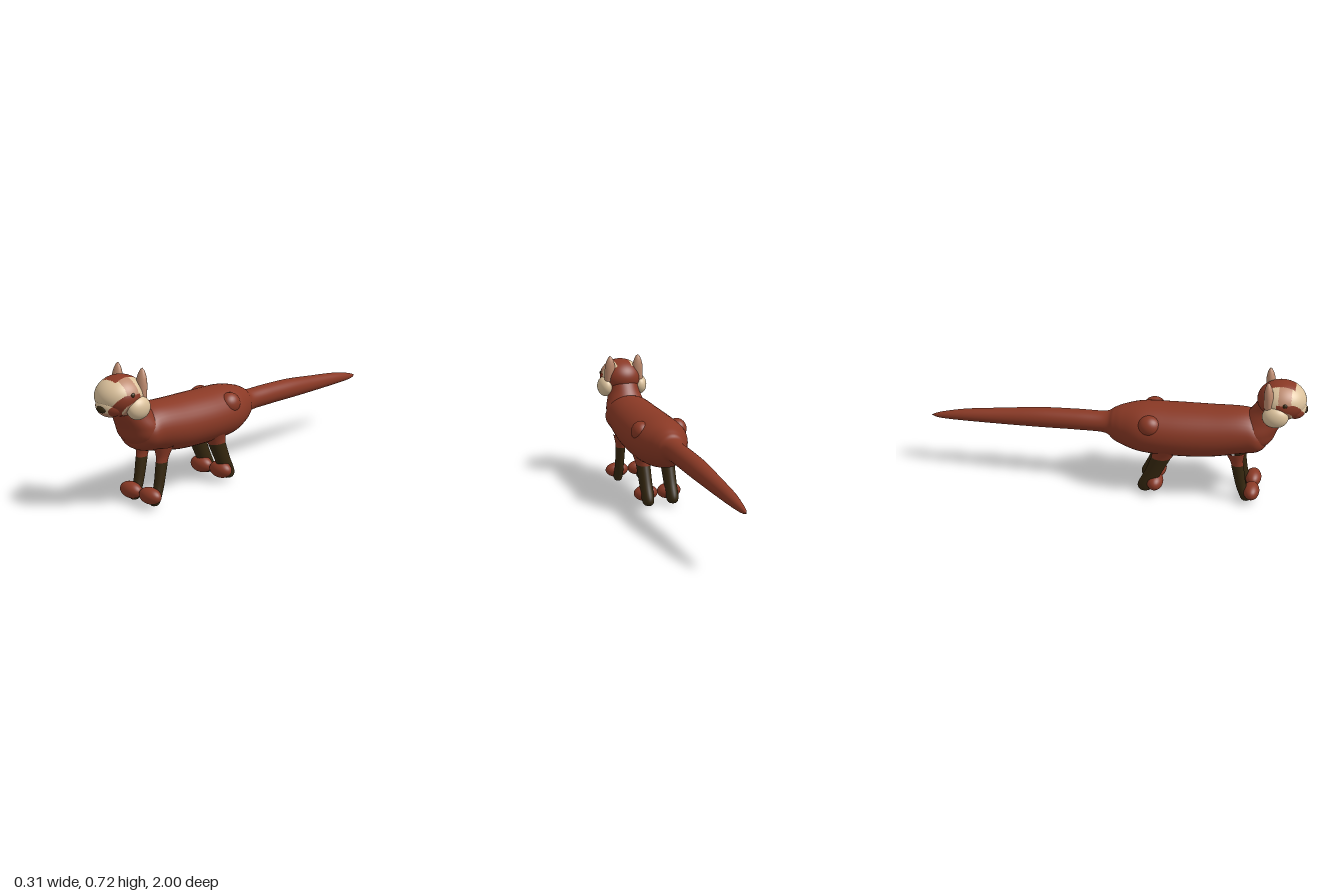
import * as THREE from 'three';

const mat = (name, color) => Object.assign(new THREE.MeshStandardMaterial({ color }), { name });

// Smooth skin through elliptical rings [x, y, z, radiusX, radiusB].
// Rings lie in the xy plane (axis 'z', listed front to back) or the xz plane (axis 'y', bottom to top).
function loft(rings, axis, steps = 60, sides = 36) {
  const curve = (f) => new THREE.CatmullRomCurve3(rings.map(f), false, 'catmullrom', 0.5);
  const centres = curve((r) => new THREE.Vector3(r[0], r[1], r[2]));
  const radii = curve((r) => new THREE.Vector3(r[3], r[4], 0));
  const pos = [], index = [];
  for (let i = 0; i <= steps; i++) {
    const c = centres.getPoint(i / steps), r = radii.getPoint(i / steps);
    for (let j = 0; j < sides; j++) {
      const a = (j / sides) * Math.PI * 2;
      const u = Math.cos(a) * Math.max(r.x, 0.0005), v = Math.sin(a) * Math.max(r.y, 0.0005);
      pos.push(c.x + u, c.y + (axis === 'z' ? v : 0), c.z + (axis === 'z' ? 0 : v));
      if (i < steps) {
        const k = (j + 1) % sides, p = i * sides, q = p + sides;
        index.push(p + j, q + j, p + k, q + j, q + k, p + k);
      }
    }
  }
  const g = new THREE.BufferGeometry();
  g.setAttribute('position', new THREE.Float32BufferAttribute(pos, 3));
  g.setIndex(index);
  g.computeVertexNormals();
  return g;
}

function ellipsoid(x, y, z, rx, ry, rz, w = 32, h = 20) {
  return new THREE.SphereGeometry(1, w, h).scale(rx, ry, rz).translate(x, y, z);
}

// Sorts the triangles into material groups by a rule on their centres.
function paint(geometry, rule, count) {
  const p = geometry.attributes.position, old = geometry.index.array;
  const buckets = Array.from({ length: count }, () => []);
  for (let i = 0; i < old.length; i += 3) {
    const t = [old[i], old[i + 1], old[i + 2]];
    const mean = (get) => (get(t[0]) + get(t[1]) + get(t[2])) / 3;
    buckets[rule(mean((n) => p.getX(n)), mean((n) => p.getY(n)), mean((n) => p.getZ(n)))].push(...t);
  }
  geometry.setIndex(buckets.flat());
  let start = 0;
  buckets.forEach((b, i) => {
    if (b.length) geometry.addGroup(start, b.length, i);
    start += b.length;
  });
  return geometry;
}

// Face markings: 0 red, 1 cream, 2 tan
function faceColour(x, y, z) {
  const ax = Math.abs(x);
  const across = ((ax - 0.045) * 0.085 - (y - 0.52) * 0.07) / 0.11;
  if (y < 0.5 || z < 0.79) return 0;
  if (ax < 0.042 && y > 0.62 && z < 0.93) return 0;         // crown stripe
  if (z > 0.84 && ax > 0.04 && y < 0.615 && Math.abs(across) < 0.018) return 0; // eye stripe
  if (y < 0.53 && ax < 0.05) return 2;                      // chin
  if (z > 0.915 || z < 0.85) return 1;
  return 2;
}

export function createModel() {
  const model = new THREE.Group();
  model.name = 'redPanda';
  const red = mat('russetFur', 0x8a3925);
  const cream = mat('creamFur', 0xdcc29c);
  const tan = mat('tanFur', 0xbd8a6e);
  const dark = mat('darkFur', 0x35270f);
  const add = (name, geometry, material, parent = model) => {
    const m = new THREE.Mesh(geometry, material);
    m.name = name;
    parent.add(m);
    return m;
  };

  // Body running into the tail: [z, centre y, half width, half height]
  const trunk = [
    [0.81, 0.37, 0, 0], [0.8, 0.375, 0.07, 0.055], [0.76, 0.385, 0.125, 0.095],
    [0.68, 0.39, 0.135, 0.12], [0.5, 0.37, 0.15, 0.135], [0.3, 0.362, 0.156, 0.137],
    [0.15, 0.362, 0.145, 0.132], [0.05, 0.362, 0.105, 0.11], [0, 0.362, 0.08, 0.088],
    [-0.05, 0.366, 0.058, 0.058], [-0.2, 0.365, 0.056, 0.055], [-0.4, 0.358, 0.053, 0.053],
    [-0.6, 0.345, 0.043, 0.044], [-0.8, 0.332, 0.033, 0.033], [-0.92, 0.32, 0.02, 0.021],
    [-0.97, 0.315, 0.011, 0.012], [-1, 0.313, 0, 0],
  ];
  add('bodyAndTail', loft(trunk.map(([z, y, rx, ry]) => [0, y, z, rx, ry]), 'z', 128, 40), red);

  // Chest and neck: [y, centre z, half width, half depth]
  const neck = [
    [0.3, 0.74, 0.04, 0.03], [0.36, 0.74, 0.11, 0.09], [0.42, 0.75, 0.12, 0.105],
    [0.48, 0.785, 0.1, 0.1], [0.53, 0.81, 0.085, 0.09], [0.58, 0.82, 0.08, 0.07],
  ];
  add('neck', loft(neck.map(([y, z, rx, rz]) => [0, y, z, rx, rz]), 'y', 40, 40), red);

  // Head
  const head = new THREE.Group();
  head.name = 'head';
  model.add(head);
  const fur = [red, cream, tan];
  add('skull', paint(ellipsoid(0, 0.59, 0.865, 0.118, 0.1, 0.125, 128, 90), faceColour, 3), fur, head);
  add('muzzle', paint(ellipsoid(0, 0.552, 0.933, 0.075, 0.055, 0.06, 96, 64), faceColour, 3), fur, head);
  add('nose', ellipsoid(0, 0.545, 0.985, 0.03, 0.018, 0.015), dark, head);

  const earProfile = [[0.031, 0], [0.031, 0.06], [0.028, 0.09], [0.021, 0.115], [0.011, 0.135], [0, 0.145]]
    .map(([r, y]) => new THREE.Vector2(r, y));

  for (const s of [1, -1]) {
    const side = s > 0 ? 'left' : 'right';
    add(side + 'Cheek', ellipsoid(s * 0.1, 0.54, 0.84, 0.045, 0.058, 0.067), cream, head);
    add(side + 'Eye', ellipsoid(s * 0.111, 0.612, 0.885, 0.008, 0.011, 0.012, 16, 12), dark, head);
    const ear = add(side + 'Ear', new THREE.LatheGeometry(earProfile, 28), tan, head);
    ear.scale.z = 0.8;
    ear.position.set(s * 0.083, 0.58, 0.806);
    ear.rotation.x = -0.08;

    // Front leg with russet shoulder and paw
    const x = s * 0.07;
    add(side + 'FrontShoulder', loft([
      [x, 0.215, 0.663, 0.026, 0.031], [x, 0.25, 0.655, 0.031, 0.036], [x, 0.3, 0.645, 0.045, 0.055],
    ], 'y', 12, 24), red);
    add(side + 'FrontLeg', loft([
      [x, 0.004, 0.715, 0, 0], [x, 0.01, 0.715, 0.018, 0.022], [x, 0.035, 0.712, 0.026, 0.032],
      [x, 0.1, 0.685, 0.025, 0.028], [x, 0.22, 0.661, 0.027, 0.033],
    ], 'y', 30, 24), dark);
    add(side + 'FrontPaw', ellipsoid(s * 0.067, 0.063, 0.742, 0.067, 0.042, 0.042), red);

    // Hind leg with hip bump, russet thigh and paw
    add(side + 'Hip', ellipsoid(s * 0.103, 0.423, 0.2, 0.052, 0.056, 0.06), red);
    add(side + 'Thigh', loft([
      [x, 0.222, 0.262, 0.038, 0.052], [x, 0.25, 0.272, 0.044, 0.06], [x, 0.3, 0.285, 0.06, 0.075],
    ], 'y', 12, 24), red);
    add(side + 'HindLeg', loft([
      [x, 0.012, 0.178, 0, 0], [x, 0.018, 0.178, 0.024, 0.03], [x, 0.05, 0.185, 0.033, 0.045],
      [x, 0.13, 0.222, 0.035, 0.046], [x, 0.228, 0.265, 0.038, 0.052],
    ], 'y', 30, 24), dark);
    add(side + 'HindPaw', ellipsoid(s * 0.067, 0.068, 0.23, 0.067, 0.044, 0.044), red);
  }
  return model;
}
